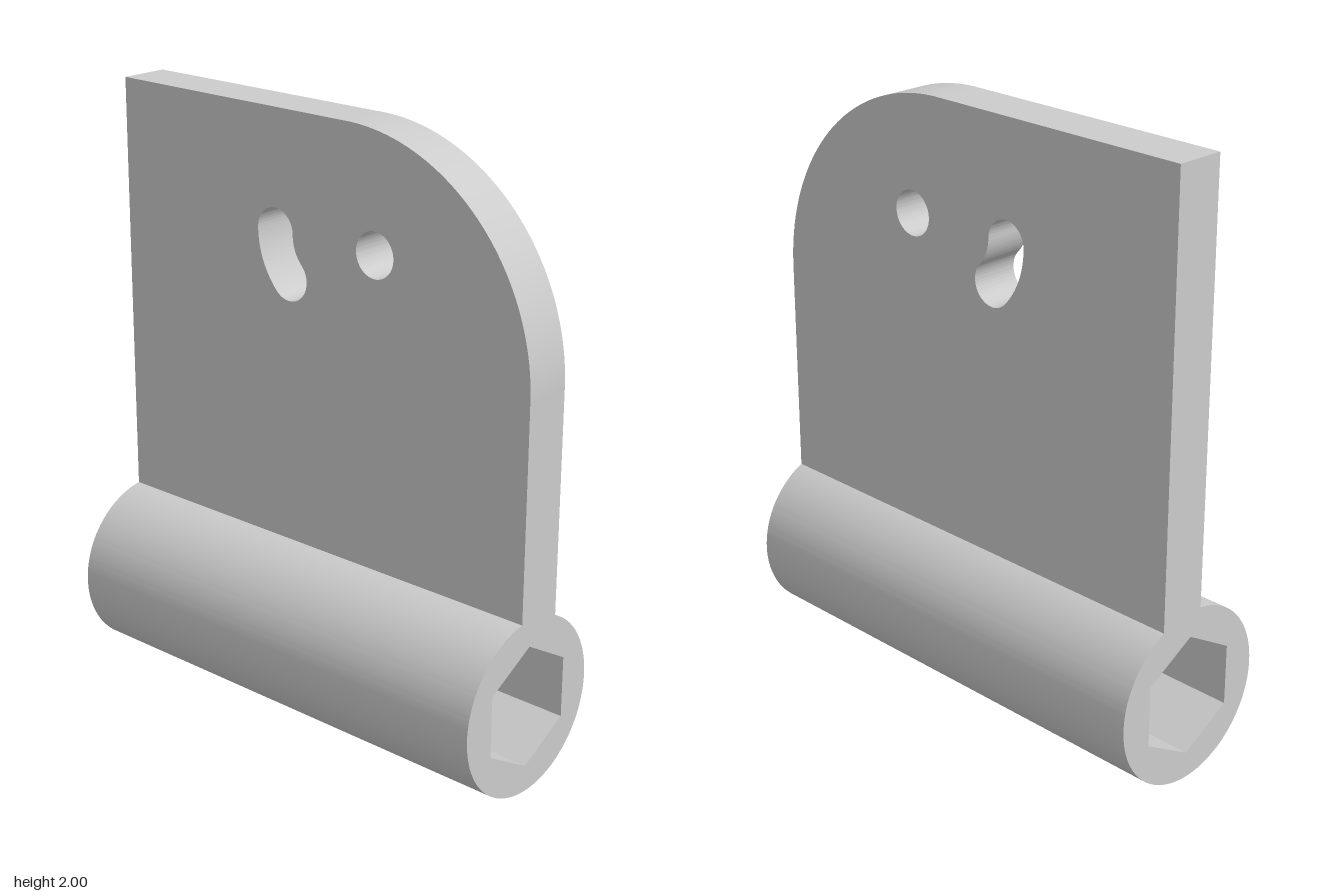
import * as THREE from 'three';
import { toCreasedNormals } from 'three/addons/utils/BufferGeometryUtils.js';

const HALF = 0.835;          // half length along z
const R = 0.292;             // tube radius
const HEX = 0.204;           // hexagon corner radius
const X0 = -0.041, X1 = 0.124; // plate faces

const extrude = (shape, depth, curveSegments) =>
  new THREE.ExtrudeGeometry(shape, { depth, curveSegments, bevelEnabled: false });

// Round tube with a hexagonal bore, lying along z
function tubeGeometry() {
  const shape = new THREE.Shape().absarc(0, 0, R, 0, Math.PI * 2, false);
  const corners = [];
  for (let i = 0; i < 6; i++) {
    const a = Math.PI / 2 - i * Math.PI / 3;
    corners.push(new THREE.Vector2(HEX * Math.cos(a), HEX * Math.sin(a)));
  }
  shape.holes.push(new THREE.Path(corners));
  return extrude(shape, HALF * 2, 96).translate(0, R + 0.002, -HALF);
}

// Curved slot of constant width with round ends
function slotPath(cx, cy, radius, sweep, w) {
  const lx = cx + radius * Math.cos(sweep), ly = cy - radius * Math.sin(sweep);
  return new THREE.Path()
    .absarc(cx, cy, radius + w, 0, -sweep, true)
    .absarc(lx, ly, w, -sweep, -sweep - Math.PI, true)
    .absarc(cx, cy, radius - w, -sweep, 0, false)
    .absarc(cx + radius, cy, w, Math.PI, 0, true);
}

// Upright plate, drawn with -z to the right and extruded along x
function plateGeometry() {
  const corner = 0.71, bottom = 0.55, hole = 0.074, holeY = 1.61;
  const shape = new THREE.Shape()
    .moveTo(-HALF, bottom)
    .lineTo(HALF, bottom)
    .lineTo(HALF, 2)
    .lineTo(-HALF + corner, 2)
    .absarc(-HALF + corner, 2 - corner, corner, Math.PI / 2, Math.PI, false);
  shape.closePath();
  shape.holes.push(
    new THREE.Path().absarc(-0.24, holeY, hole, 0, Math.PI * 2, true),
    slotPath(-0.035, holeY, 0.204, 0.773, hole)
  );
  return extrude(shape, X1 - X0, 40).rotateY(Math.PI / 2).translate(X0, 0, 0);
}

export function createModel() {
  const group = new THREE.Group();
  const material = new THREE.MeshStandardMaterial({ color: 0xcccccc });
  const add = (name, geometry) => {
    const mesh = new THREE.Mesh(toCreasedNormals(geometry, 0.5), material);
    mesh.name = name;
    group.add(mesh);
  };
  add('hexBoreTube', tubeGeometry());
  add('slottedPlate', plateGeometry());
  return group;
}
